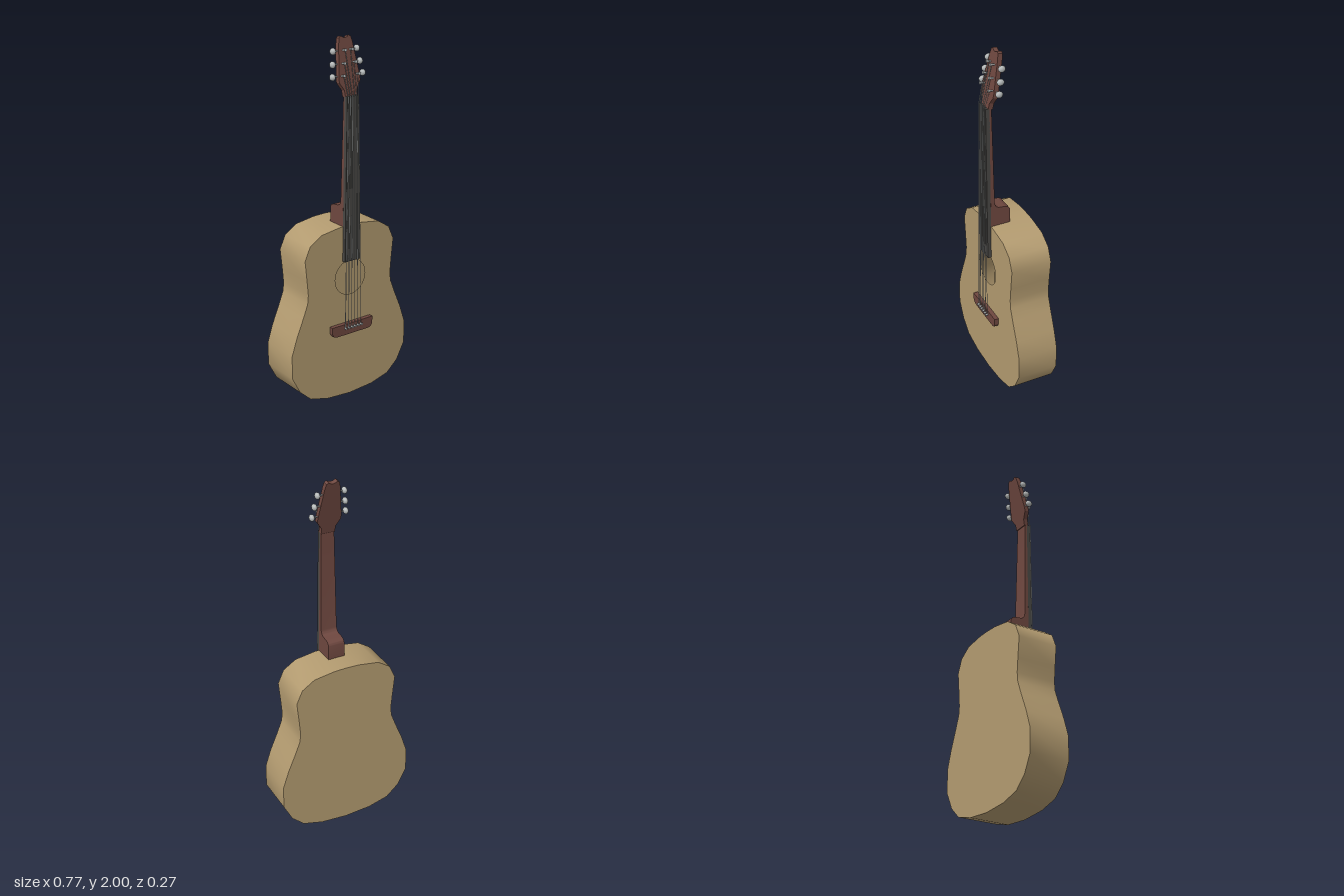
import * as THREE from 'three';
import { toCreasedNormals } from 'three/addons/utils/BufferGeometryUtils.js';

const V = (x, y, z) => new THREE.Vector3(x, y, z);
const mat = (color) => new THREE.MeshStandardMaterial({ color, side: THREE.DoubleSide });
const wood = mat(0xb39b70), brown = mat(0x6e473f), dark = mat(0x484744), metal = mat(0xb4b8b8);

const FRONT = 0.095, BACK = -0.135;

function add(parent, name, geometry, material) {
  const mesh = new THREE.Mesh(geometry, material);
  mesh.name = name;
  parent.add(mesh);
  return mesh;
}

// Closed outline mirrored from its +x half, listed from bottom to top
function mirrored(half) {
  const left = half.filter(([x]) => x > 0).reverse().map(([x, y]) => [-x, y]);
  return [...half, ...left].map(([x, y]) => new THREE.Vector2(x, y));
}

// Half width of the tapering neck at height y
const neckHalf = (y) => 0.051 - 0.0144 * (y - 0.8);

// Side profile (z, y) extruded across the tapering neck width
function taperedExtrude(shape) {
  const geo = new THREE.ExtrudeGeometry(shape, { depth: 2, bevelEnabled: false, curveSegments: 8 });
  geo.translate(0, 0, -1).rotateY(-Math.PI / 2);
  const p = geo.attributes.position;
  for (let i = 0; i < p.count; i++) p.setX(i, p.getX(i) * neckHalf(p.getY(i)));
  return toCreasedNormals(geo, 0.6);
}

// Straight rod between two points
function rod(a, b, r, sides = 6) {
  const dir = b.clone().sub(a);
  const geo = new THREE.CylinderGeometry(r, r, dir.length(), sides);
  geo.applyQuaternion(new THREE.Quaternion().setFromUnitVectors(V(0, 1, 0), dir.normalize()));
  const mid = a.clone().add(b).multiplyScalar(0.5);
  return geo.translate(mid.x, mid.y, mid.z);
}

// Hollow body: side band, back plate, and top plate with the sound hole
function makeBody() {
  const body = new THREE.Group();
  body.name = 'body';
  const outline = mirrored([
    [0, 0.003], [0.15, 0.014], [0.265, 0.045], [0.335, 0.108], [0.385, 0.205], [0.385, 0.335],
    [0.352, 0.435], [0.308, 0.54], [0.281, 0.61], [0.276, 0.66], [0.283, 0.74], [0.295, 0.855],
    [0.262, 0.93], [0.19, 0.977], [0.07, 0.995], [0, 0.997],
  ]);
  const pos = [], index = [], n = outline.length;
  outline.forEach((p, i) => {
    pos.push(p.x, p.y, BACK, p.x, p.y, FRONT);
    const a = 2 * i, b = 2 * ((i + 1) % n);
    index.push(a, b, b + 1, a, b + 1, a + 1);
  });
  const sides = new THREE.BufferGeometry();
  sides.setAttribute('position', new THREE.Float32BufferAttribute(pos, 3));
  sides.setIndex(index);
  sides.computeVertexNormals();
  add(body, 'bodySides', sides, wood);

  const back = new THREE.ShapeGeometry(new THREE.Shape(outline));
  add(body, 'bodyBack', back.rotateY(Math.PI).translate(0, 0, BACK), wood);

  const top = new THREE.Shape(outline);
  top.holes.push(new THREE.Path().absarc(0, 0.7, 0.1, 0, Math.PI * 2, true));
  add(body, 'bodyTop', new THREE.ShapeGeometry(top, 16).translate(0, 0, FRONT), wood);
  return body;
}

// Neck with its curved heel, and the fingerboard on it
function makeNeck() {
  const neck = new THREE.Group();
  neck.name = 'neckAssembly';
  const profile = new THREE.Shape();
  profile.moveTo(FRONT, 0.99);
  profile.lineTo(FRONT, 1.71);
  profile.lineTo(0.084, 1.71);
  profile.lineTo(0.072, 1.14);
  profile.quadraticCurveTo(0.07, 1.105, 0.04, 1.103);
  profile.lineTo(0.012, 1.1);
  profile.quadraticCurveTo(-0.016, 1.096, -0.018, 1.07);
  profile.lineTo(-0.018, 0.99);
  add(neck, 'neck', taperedExtrude(profile), brown);

  const board = new THREE.Shape([[0.096, 0.8], [0.116, 0.8], [0.116, 1.7], [0.094, 1.7]]
    .map(([z, y]) => new THREE.Vector2(z, y)));
  add(neck, 'fingerboard', taperedExtrude(board), dark);
  return neck;
}

// Bridge plate with rounded lower corners, and the six pins
function makeBridge() {
  const bridge = new THREE.Group();
  bridge.name = 'bridgeAssembly';
  const plate = new THREE.Shape(mirrored([
    [0, 0.378], [0.11, 0.378], [0.127, 0.386], [0.136, 0.403], [0.136, 0.44], [0, 0.44],
  ]));
  const geo = new THREE.ExtrudeGeometry(plate, { depth: 0.024, bevelEnabled: false });
  add(bridge, 'bridge', geo.translate(0, 0, FRONT), brown);
  for (let i = 0; i < 6; i++) {
    const x = (i - 2.5) * 0.021;
    add(bridge, 'bridgePin', rod(V(x, 0.42, 0.115), V(x, 0.42, 0.128), 0.004, 8), metal);
    add(bridge, 'bridgePinHead', rod(V(x, 0.42, 0.126), V(x, 0.42, 0.135), 0.007, 10), metal);
  }
  return bridge;
}

// Tuner heights along the headstock with post and button offsets
const tuners = [
  { y: 0.108, post: 0.048, button: 0.094 },
  { y: 0.17, post: 0.035, button: 0.085 },
  { y: 0.236, post: 0.022, button: 0.074 },
];

// Tilted headstock with three tuners on each side
function makeHeadstock() {
  const head = new THREE.Group();
  head.name = 'headstock';
  head.position.set(0, 1.697, 0.103);
  head.rotation.x = -0.19;
  const plate = new THREE.Shape(mirrored([
    [0, 0], [0.039, 0], [0.041, 0.035], [0.067, 0.075], [0.067, 0.1], [0.044, 0.27],
    [0.037, 0.3], [0.025, 0.308], [0.012, 0.3], [0, 0.297],
  ]));
  const geo = new THREE.ExtrudeGeometry(plate, { depth: 0.026, bevelEnabled: false });
  add(head, 'headstockPlate', geo.translate(0, 0, -0.026), brown);
  for (const side of [-1, 1]) {
    for (const { y, post, button } of tuners) {
      const x = side * post;
      add(head, 'tunerPost', rod(V(x, y, -0.01), V(x, y, 0.02), 0.005, 8), metal);
      add(head, 'tunerPostCap', rod(V(x, y, 0.019), V(x, y, 0.025), 0.008, 10), metal);
      add(head, 'tunerShaft', rod(V(side * 0.035, y, -0.014), V(side * button, y, -0.014), 0.004), metal);
      const knob = add(head, 'tunerButton', new THREE.SphereGeometry(1, 10, 8), metal);
      knob.scale.set(0.014, 0.018, 0.02);
      knob.position.set(side * (button + 0.002), y, -0.014);
    }
  }
  head.updateMatrixWorld(true);
  return head;
}

// Six strings from the bridge over the nut to the posts
function makeStrings(head) {
  const strings = new THREE.Group();
  strings.name = 'strings';
  for (let i = 0; i < 6; i++) {
    const side = i < 3 ? -1 : 1;
    const { y, post } = tuners[i < 3 ? i : 5 - i];
    const low = V((i - 2.5) * 0.021, 0.425, 0.124);
    const nut = V((i - 2.5) * 0.0135, 1.7, 0.12);
    const end = head.localToWorld(V(side * (post - 0.005), y, 0.013));
    const r = 0.0024 - i * 0.0002;
    add(strings, 'string', rod(low, nut, r, 5), metal);
    add(strings, 'stringEnd', rod(nut, end, r, 5), metal);
  }
  return strings;
}

export function createModel() {
  const guitar = new THREE.Group();
  guitar.name = 'acousticGuitar';
  const head = makeHeadstock();
  guitar.add(makeBody(), makeNeck(), makeBridge(), head, makeStrings(head));
  return guitar;
}
